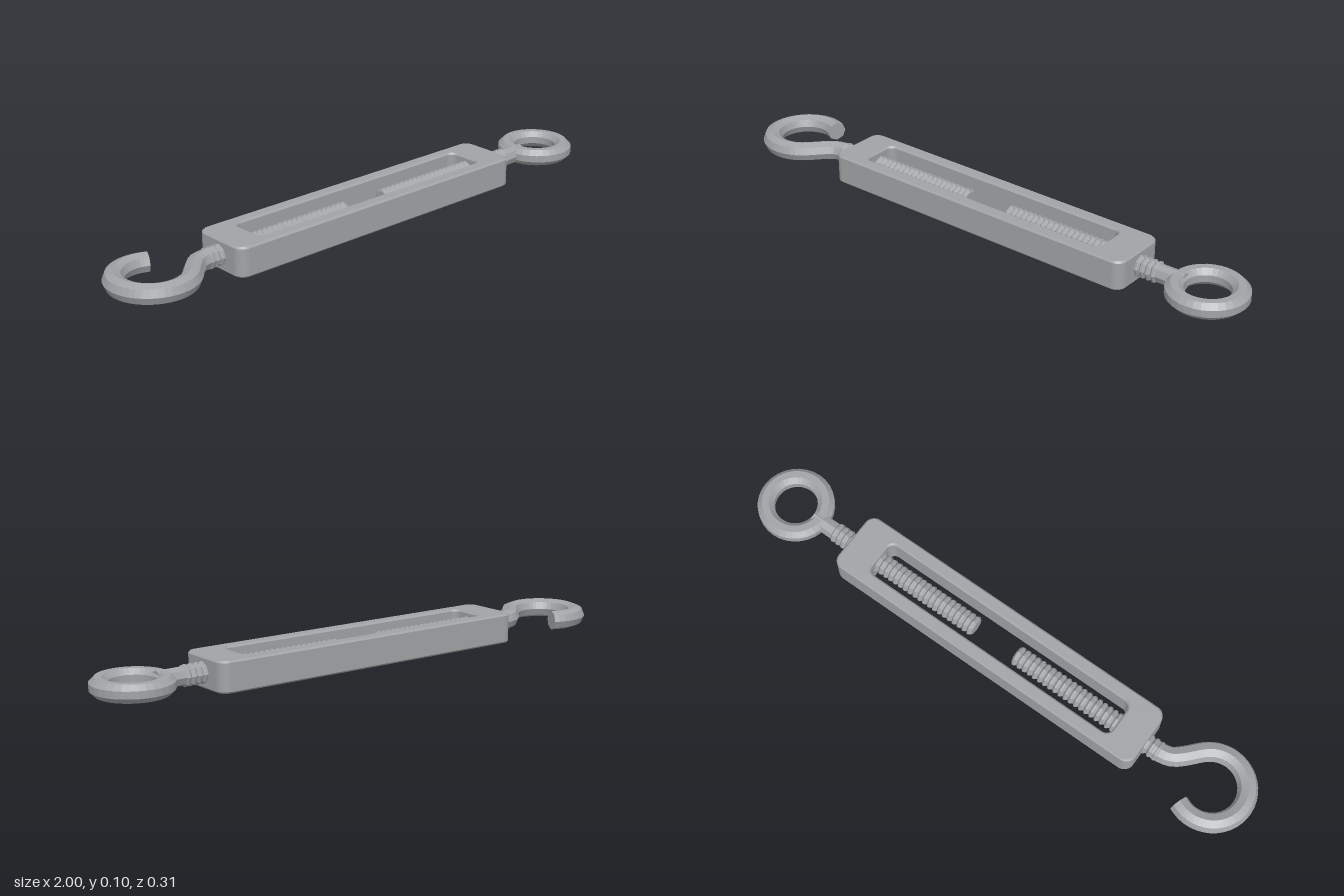
import * as THREE from 'three';

const MID = 0.052; // height of the rod axis

// Rounded rectangle traced into a Shape or Path
function roundedRect(path, x0, x1, h, r) {
  path.moveTo(x0 + r, -h);
  path.lineTo(x1 - r, -h);
  path.absarc(x1 - r, -h + r, r, -Math.PI / 2, 0, false);
  path.lineTo(x1, h - r);
  path.absarc(x1 - r, h - r, r, 0, Math.PI / 2, false);
  path.lineTo(x0 + r, h);
  path.absarc(x0 + r, h - r, r, Math.PI / 2, Math.PI, false);
  path.lineTo(x0, -h + r);
  path.absarc(x0 + r, -h + r, r, Math.PI, Math.PI * 1.5, false);
  return path;
}

// Eight-sided threaded rod along x, with closed ends
function threadedRod(x0, x1) {
  const pitch = 0.021, outer = 0.037, inner = 0.029;
  const n = Math.round((x1 - x0) / pitch), step = (x1 - x0) / n;
  const pts = [new THREE.Vector2(0, 0)];
  for (let i = 0; i < n; i++) {
    pts.push(new THREE.Vector2(inner, i * step));
    pts.push(new THREE.Vector2(outer, (i + 0.35) * step));
    pts.push(new THREE.Vector2(outer, (i + 0.65) * step));
  }
  pts.push(new THREE.Vector2(inner, n * step), new THREE.Vector2(0, n * step));
  return new THREE.LatheGeometry(pts, 8).rotateZ(-Math.PI / 2).translate(x1 - n * step, MID, 0);
}

export function createModel() {
  const model = new THREE.Group();
  const steel = new THREE.MeshStandardMaterial({ color: 0xa0a4a6, flatShading: true });
  steel.name = 'steel';
  const add = (name, geometry, parent = model) => {
    const mesh = new THREE.Mesh(geometry, steel);
    mesh.name = name;
    parent.add(mesh);
    return mesh;
  };

  // Slotted body with slightly bevelled rims
  const outline = roundedRect(new THREE.Shape(), -0.596, 0.618, 0.11, 0.036);
  outline.holes.push(roundedRect(new THREE.Path(), -0.484, 0.5, 0.065, 0.026));
  const bevel = 0.006;
  const body = new THREE.ExtrudeGeometry(outline, {
    depth: 0.104 - 2 * bevel, bevelThickness: bevel, bevelSize: bevel,
    bevelOffset: -bevel, bevelSegments: 1, curveSegments: 6,
  });
  add('body', body.rotateX(-Math.PI / 2).translate(0, bevel, 0));

  // Hook end: threaded rod, S-bend and open loop
  const hookEnd = new THREE.Group();
  hookEnd.name = 'hookEnd';
  model.add(hookEnd);
  add('hookRod', threadedRod(-0.652, -0.07), hookEnd);
  const cx = -0.847, R = 0.119, points = [];
  for (let i = 0; i <= 16; i++) {
    const a = THREE.MathUtils.degToRad(62 + i * (253 / 16));
    points.push(new THREE.Vector3(cx + R * Math.cos(a), MID, -R * Math.sin(a)));
  }
  points.push(
    new THREE.Vector3(-0.718, MID, 0.036),
    new THREE.Vector3(-0.685, MID, 0.009),
    new THREE.Vector3(-0.645, MID, 0),
    new THREE.Vector3(-0.615, MID, 0));
  const curve = new THREE.CatmullRomCurve3(points);
  add('hook', new THREE.TubeGeometry(curve, 40, 0.034, 8), hookEnd);
  const tip = add('hookTip', new THREE.CircleGeometry(0.034, 8), hookEnd);
  tip.position.copy(curve.getPointAt(0));
  tip.lookAt(tip.position.clone().sub(curve.getTangentAt(0)));

  // Eye end: threaded rod, plain shank and closed ring
  const eyeEnd = new THREE.Group();
  eyeEnd.name = 'eyeEnd';
  model.add(eyeEnd);
  add('eyeRod', threadedRod(0.096, 0.695), eyeEnd);
  const shank = new THREE.CylinderGeometry(0.031, 0.031, 0.105, 8);
  add('eyeShank', shank.rotateZ(-Math.PI / 2).translate(0.7325, MID, 0), eyeEnd);
  const section = [];
  for (let i = 0; i <= 8; i++) {
    const a = (i + 0.5) * Math.PI / 4;
    section.push(new THREE.Vector2(0.104 + 0.0315 * Math.cos(a), 0.0315 * Math.sin(a)));
  }
  add('eyeRing', new THREE.LatheGeometry(section, 32).translate(0.867, MID, 0), eyeEnd);

  return model;
}
